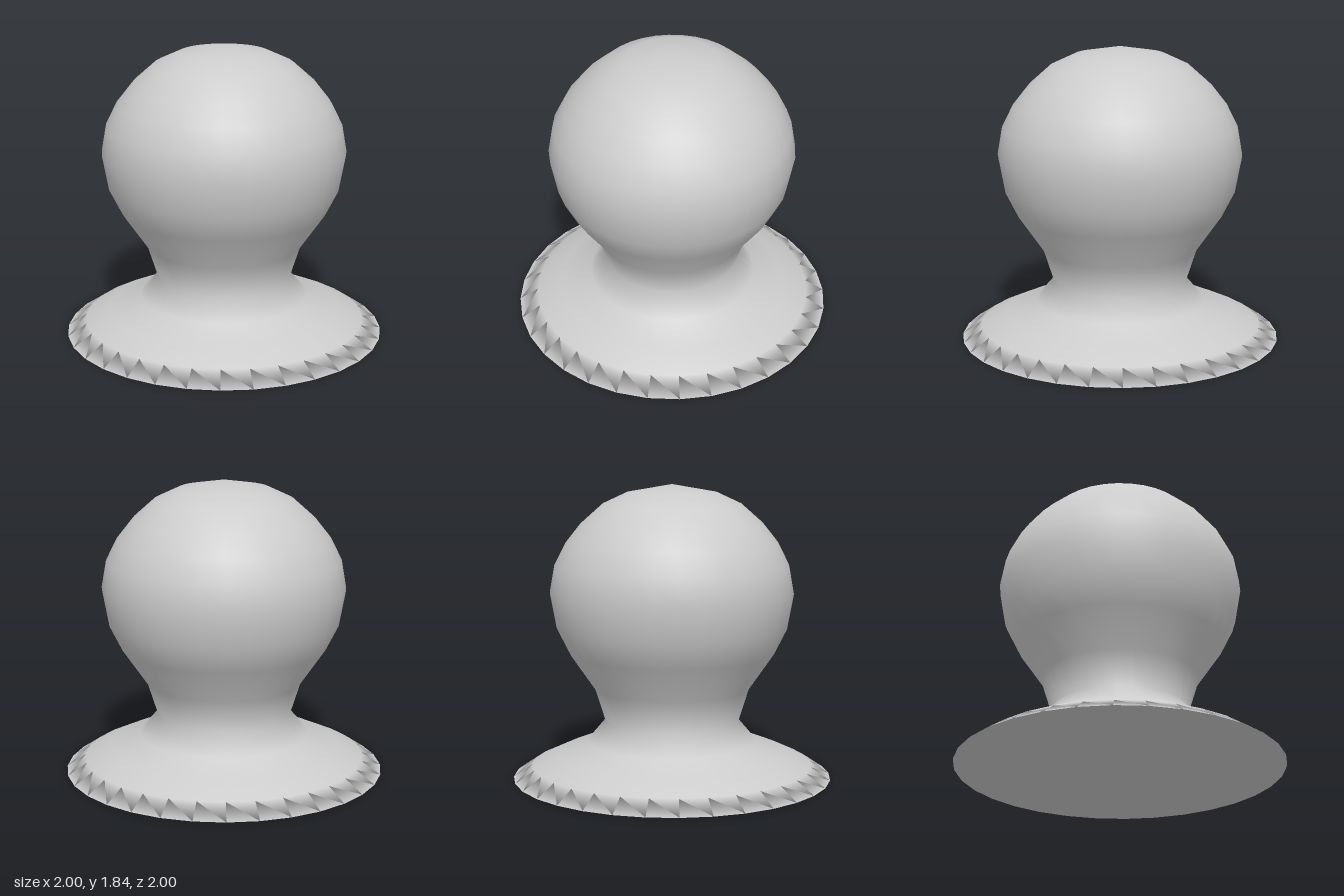
import * as THREE from 'three';

// Half outline of the turned knob, from the underside centre up to the crown
const PROFILE = [
  // flat underside and flared base
  [0, 0], [1, 0], [0.88, 0.08], [0.72, 0.155], [0.53, 0.23],
  // narrow neck
  [0.42, 0.36], [0.485, 0.565],
  // rounded head
  [0.64, 0.79], [0.72, 0.95], [0.76, 1.17], [0.73, 1.34], [0.66, 1.48],
  [0.565, 1.6], [0.43, 1.72], [0.28, 1.79], [0, 1.84],
];

export function createModel() {
  const group = new THREE.Group();
  group.name = 'knob';

  const points = PROFILE.map(([r, y]) => new THREE.Vector2(r, y));
  const geometry = new THREE.LatheGeometry(points, 32);

  // Smooth the crown: its tip faces straight up
  const normal = geometry.attributes.normal;
  for (let i = points.length - 1; i < normal.count; i += points.length) {
    normal.setXYZ(i, 0, 1, 0);
  }

  const body = new THREE.Mesh(geometry, new THREE.MeshStandardMaterial({ color: 0xcccccc }));
  body.name = 'knobBody';
  group.add(body);
  return group;
}
